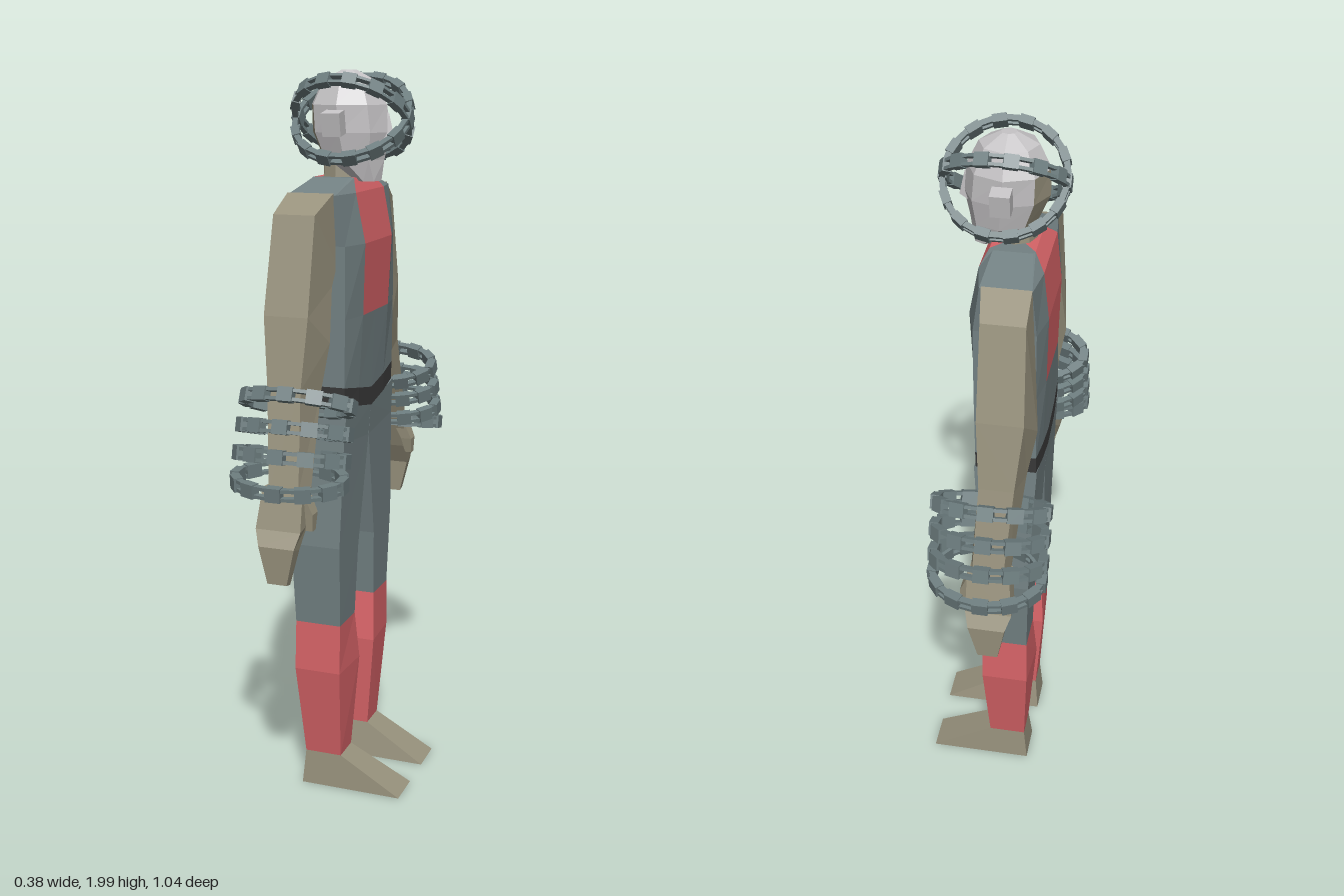
import * as THREE from 'three';
import { mergeGeometries } from 'three/addons/utils/BufferGeometryUtils.js';

const mat = (name, color) => {
  const m = new THREE.MeshStandardMaterial({ color });
  m.name = name;
  return m;
};

// Faceted solid through rings of [x, y, z] points; pick(row, column) chooses the material index.
function loft(name, rings, materials, pick = () => 0) {
  const list = Array.isArray(materials) ? materials : [materials];
  const buckets = list.map(() => []);
  const n = rings[0].length;
  const mean = r => [0, 1, 2].map(k => r.reduce((s, p) => s + p[k], 0) / n);
  for (let r = 0; r < rings.length - 1; r++) {
    for (let c = 0; c < n; c++) {
      const d = (c + 1) % n, a = rings[r], b = rings[r + 1];
      buckets[pick(r, c)].push([a[c], a[d], b[d]], [a[c], b[d], b[c]]);
    }
  }
  const first = rings[0], last = rings[rings.length - 1];
  for (let c = 0; c < n; c++) {
    const d = (c + 1) % n;
    buckets[pick(0, c)].push([mean(first), first[d], first[c]]);
    buckets[pick(rings.length - 2, c)].push([mean(last), last[c], last[d]]);
  }
  // Turn every face outward, using the sign of the enclosed volume
  let volume = 0;
  const o = new THREE.Vector3(...mean(first));
  const v = p => new THREE.Vector3(...p).sub(o);
  buckets.flat().forEach(([a, b, c]) => { volume += v(a).dot(v(b).cross(v(c))); });
  const geo = new THREE.BufferGeometry();
  const pos = [];
  buckets.forEach((tris, i) => {
    const start = pos.length / 3;
    tris.forEach(([a, b, c]) => pos.push(...a, ...(volume < 0 ? c : b), ...(volume < 0 ? b : c)));
    if (tris.length) geo.addGroup(start, pos.length / 3 - start, i);
  });
  geo.setAttribute('position', new THREE.Float32BufferAttribute(pos, 3));
  geo.computeVertexNormals();
  const mesh = new THREE.Mesh(geo, list);
  mesh.name = name;
  return mesh;
}

// Elliptical chain: solid blocks joined by pairs of thin bars
function chain(name, center, u, v, ru, rv, count, size, material) {
  const parts = [];
  const normal = u.clone().cross(v).normalize();
  const total = count * 2;
  for (let i = 0; i < total; i++) {
    const t = (i / total) * Math.PI * 2;
    const p = center.clone().addScaledVector(u, ru * Math.cos(t)).addScaledVector(v, rv * Math.sin(t));
    const tangent = u.clone().multiplyScalar(-ru * Math.sin(t)).addScaledVector(v, rv * Math.cos(t)).normalize();
    const m = new THREE.Matrix4().makeBasis(tangent, normal, tangent.clone().cross(normal)).setPosition(p);
    if (i % 2) {
      for (const s of [-1, 1]) {
        parts.push(new THREE.BoxGeometry(size, size * 0.22, size * 0.4).translate(0, s * size * 0.28, 0).applyMatrix4(m));
      }
    } else {
      parts.push(new THREE.BoxGeometry(size, size * 0.9, size * 0.6).applyMatrix4(m));
    }
  }
  const mesh = new THREE.Mesh(mergeGeometries(parts), material);
  mesh.name = name;
  return mesh;
}

export function createModel() {
  const suit = mat('suit grey', 0x738183);
  const red = mat('red', 0xd66367);
  const skin = mat('skin', 0x98927d);
  const mask = mat('mask grey', 0xc6c4c6);
  const dark = mat('belt charcoal', 0x3b3b3b);
  const metal = mat('chain metal', 0x6c7c7e);
  const model = new THREE.Group();
  const Z = 0.0075;

  // Ten-sided torso ring: side half width, panel half width, side and panel depths, sag at the middle
  const torsoRing = (y, hs, hp, f1, f2, b1, b2, sag = 0) => {
    const at = (x, z) => [x, y - sag * (1 - Math.abs(z) / hs), z + Z];
    return [at(f1, hs), at(f2, hp), at(f2, 0), at(f2, -hp), at(f1, -hs),
      at(b1, -hs), at(b2, -hp), at(b2, 0), at(b2, hp), at(b1, hs)];
  };
  const beltLow = torsoRing(1.13, 0.187, 0.1, 0.043, 0.05, -0.118, -0.122, 0.035);
  const beltTop = torsoRing(1.18, 0.192, 0.1, 0.043, 0.05, -0.118, -0.122, 0.035);
  model.add(loft('belt', [beltLow, beltTop], dark));
  model.add(loft('torso', [
    beltTop,
    torsoRing(1.36, 0.193, 0.1, 0.045, 0.062, -0.115, -0.128),
    torsoRing(1.55, 0.193, 0.107, 0.045, 0.07, -0.115, -0.132),
    torsoRing(1.68, 0.208, 0.11, 0.025, 0.045, -0.105, -0.118),
    torsoRing(1.715, 0.08, 0.07, 0.015, 0.025, -0.085, -0.09),
  ], [suit, red], (r, c) => (r > 0 && [1, 2, 6, 7].includes(c) ? 1 : 0)));

  // Four-sided limb ring; inner and outer edges are [z, y], narrowed on the outside by bevel
  const limbRing = (s, [zi, yi], [zo, yo], xb, xf, bevel = 0) => [
    [xf, yi, s * zi + Z], [xf - bevel, yo, s * zo + Z],
    [xb + bevel, yo, s * zo + Z], [xb, yi, s * zi + Z],
  ];

  for (const s of [1, -1]) {
    const side = s > 0 ? 'Positive' : 'Negative';
    const ring = (...a) => limbRing(s, ...a);

    // Leg
    const knee = ring([0.08, 0.51], [0.195, 0.51], -0.1, 0.03);
    const ankle = ring([0.07, 0.1], [0.155, 0.1], -0.09, 0.015);
    model.add(loft('thigh' + side, [
      ring([0, 1.095], [0.187, 1.13], -0.12, 0.048),
      ring([0.001, 1.01], [0.193, 1.03], -0.115, 0.042),
      ring([0.066, 0.7], [0.212, 0.74], -0.105, 0.035),
      knee,
    ], suit));
    model.add(loft('shin' + side, [
      knee, ring([0.06, 0.37], [0.2, 0.37], -0.11, 0.037, 0.008), ankle,
    ], red));
    model.add(loft('foot' + side, [
      ankle, ring([0.053, 0], [0.16, 0], -0.1, 0.19),
    ], skin));

    // Arm and hand
    model.add(loft('arm' + side, [
      ring([0.185, 1.5], [0.208, 1.685], -0.105, 0.02),
      ring([0.215, 1.45], [0.3, 1.638], -0.118, 0.018, 0.012),
      ring([0.25, 1.31], [0.355, 1.39], -0.13, 0.025, 0.018),
      ring([0.28, 1.19], [0.383, 1.21], -0.108, 0.012, 0.015),
      ring([0.375, 0.95], [0.43, 0.96], -0.085, 0.02, 0.012),
    ], skin));
    model.add(loft('hand' + side, [
      ring([0.37, 0.96], [0.43, 0.965], -0.09, 0.02),
      ring([0.405, 0.87], [0.455, 0.86], -0.1, 0.022),
      ring([0.438, 0.81], [0.475, 0.82], -0.085, 0.012),
      ring([0.443, 0.715], [0.467, 0.72], -0.065, -0.012),
    ], skin));
    model.add(loft('thumb' + side, [
      ring([0.38, 0.94], [0.425, 0.94], -0.01, 0.025),
      ring([0.385, 0.9], [0.42, 0.9], 0.01, 0.042),
      ring([0.395, 0.855], [0.415, 0.855], 0.02, 0.04),
    ], skin));

    // Forearm chains: outer and inner ends of each loop as [z, y]
    const drop = s > 0 ? 0 : -0.035;
    [[0.42, 1.205, 0.265, 1.13], [0.455, 1.13, 0.28, 1.075],
      [0.485, 1.06, 0.295, 1.015], [0.505, 0.97, 0.305, 0.985]].forEach(([zo, yo, zi, yi], i) => {
      const outer = new THREE.Vector3(-0.03, yo + drop, s * zo);
      const inner = new THREE.Vector3(-0.03, yi + drop * (i === 3 ? 0.3 : 1), s * zi);
      const axis = outer.clone().sub(inner);
      const half = axis.length() / 2;
      model.add(chain('armChain' + side + (i + 1), outer.add(inner).multiplyScalar(0.5),
        axis.normalize(), new THREE.Vector3(1, 0, 0), half, 0.143, 12, 0.041, metal));
    });

    // Ear flap and crossed head chain
    const ear = new THREE.Mesh(new THREE.BoxGeometry(0.05, 0.06, 0.04), mask);
    ear.name = 'ear' + side;
    ear.position.set(-0.01, 1.855, 0.02 + s * 0.115);
    ear.rotation.x = s * 0.2;
    model.add(ear);
    const tilt = s * 0.69;
    model.add(chain('headChain' + side, new THREE.Vector3(0, 1.865, 0.02),
      new THREE.Vector3(1, 0, 0), new THREE.Vector3(0, Math.sin(tilt), Math.cos(tilt)),
      0.153, 0.155, 14, 0.037, metal));
  }

  // Neck and head
  const round = (y, cx, rx, rz, n = 8) => Array.from({ length: n }, (_, i) => {
    const a = (i / n) * Math.PI * 2;
    return [cx + rx * Math.cos(a), y, 0.018 - rz * Math.sin(a)];
  });
  model.add(loft('neck', [round(1.66, -0.03, 0.055, 0.055), round(1.78, -0.03, 0.05, 0.05)], skin));
  model.add(loft('head', [
    round(1.705, 0.045, 0.035, 0.045),
    round(1.76, 0.003, 0.085, 0.075),
    round(1.83, -0.005, 0.108, 0.092),
    round(1.9, -0.01, 0.105, 0.097),
    round(1.96, -0.01, 0.075, 0.07),
    round(1.988, -0.01, 0.02, 0.02),
  ], [mask, skin], (r, c) => (r < 3 && (c === 3 || c === 4) ? 1 : 0)));
  model.add(loft('nose', [
    [[0.09, 1.81, 0.036], [0.115, 1.815, 0.018], [0.09, 1.81, 0]],
    [[0.08, 1.88, 0.026], [0.1, 1.88, 0.018], [0.08, 1.88, 0.01]],
  ], mask));

  return model;
}
